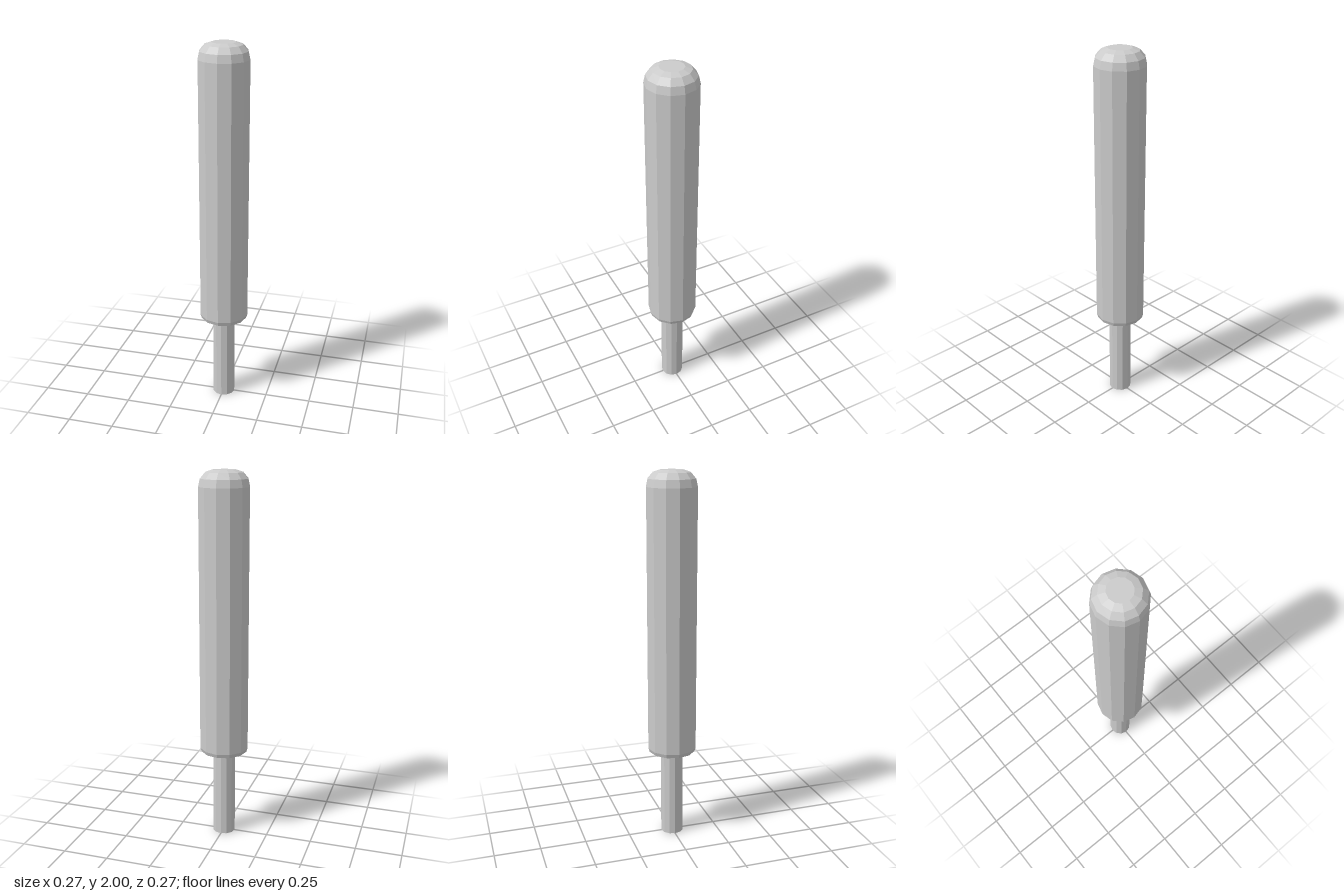
import * as THREE from 'three';

const SIDES = 12;

// Turned, faceted part from [radius, height] pairs, bottom to top
function turned(name, profile) {
  const points = profile.map(([r, y]) => new THREE.Vector2(r, y));
  const material = new THREE.MeshStandardMaterial({ color: 0xcccccc, flatShading: true });
  const mesh = new THREE.Mesh(new THREE.LatheGeometry(points, SIDES), material);
  mesh.name = name;
  return mesh;
}

export function createModel() {
  const group = new THREE.Group();
  group.name = 'roundedBarOnStick';

  // Thin stick, running a little way into the body
  group.add(turned('stick', [[0, 0], [0.062, 0], [0.062, 0.5], [0, 0.5]]));

  // Thick body: small bevel below, larger rounded shoulder above
  group.add(turned('body', [
    [0, 0.482], [0.11, 0.482], [0.127, 0.489], [0.134, 0.51],
    [0.134, 1.917], [0.125, 1.957], [0.098, 1.988], [0.062, 2], [0, 2],
  ]));

  return group;
}
